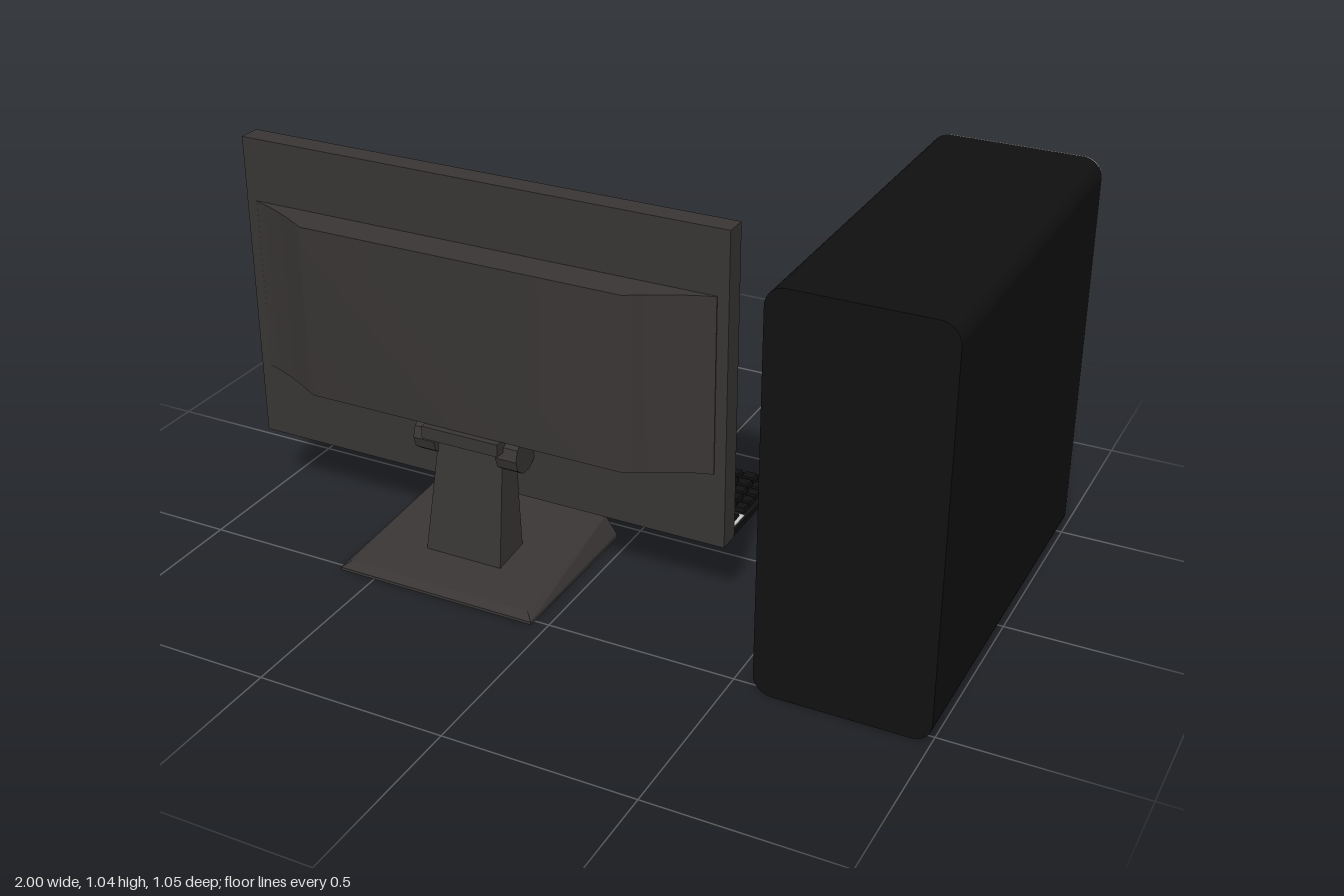
import * as THREE from 'three';
import { toCreasedNormals } from 'three/addons/utils/BufferGeometryUtils.js';
import { ConvexGeometry } from 'three/addons/geometries/ConvexGeometry.js';

const mat = (color) => new THREE.MeshStandardMaterial({ color });
const grey = mat(0xcccccc), black = mat(0x101010), charcoal = mat(0x383534), glass = mat(0x0c0c0c);

function add(parent, name, geometry, material) {
  const mesh = new THREE.Mesh(geometry, material);
  mesh.name = name;
  parent.add(mesh);
  return mesh;
}

function group(parent, name) {
  const g = new THREE.Group();
  g.name = name;
  parent.add(g);
  return g;
}

// Box given by its min and max on each axis
function span(x0, x1, y0, y1, z0, z1) {
  return new THREE.BoxGeometry(x1 - x0, y1 - y0, z1 - z0)
    .translate((x0 + x1) / 2, (y0 + y1) / 2, (z0 + z1) / 2);
}

function hull(points) {
  return new ConvexGeometry(points.map((p) => new THREE.Vector3(...p)));
}

function roundedRect(x0, x1, y0, y1, r) {
  const s = new THREE.Shape();
  s.moveTo(x0 + r, y0);
  s.lineTo(x1 - r, y0);
  s.absarc(x1 - r, y0 + r, r, -Math.PI / 2, 0);
  s.absarc(x1 - r, y1 - r, r, 0, Math.PI / 2);
  s.absarc(x0 + r, y1 - r, r, Math.PI / 2, Math.PI);
  s.absarc(x0 + r, y0 + r, r, Math.PI, Math.PI * 1.5);
  return s;
}

function extrude(shape, depth, z) {
  const g = new THREE.ExtrudeGeometry(shape, { depth, bevelEnabled: false, curveSegments: 10 });
  return toCreasedNormals(g.translate(0, 0, z), 0.6);
}

// Arched cross-sections with a flat underside, lofted along z
function archLoft(cx, sections, sides = 24) {
  const pos = [], index = [], n = sides + 1;
  for (const [z, w, h] of sections) {
    for (let j = 0; j <= sides; j++) {
      const a = (j / sides) * Math.PI, c = Math.cos(a), s = Math.max(0, Math.sin(a));
      pos.push(cx + w * Math.sign(c) * Math.abs(c) ** 0.75, h * s ** 0.75, z);
    }
  }
  for (let i = 0; i < sections.length - 1; i++) {
    for (let j = 0; j < n; j++) {
      const a = i * n + j, b = i * n + (j + 1) % n;
      index.push(a, b, a + n, b, b + n, a + n);
    }
  }
  const g = new THREE.BufferGeometry();
  g.setAttribute('position', new THREE.Float32BufferAttribute(pos, 3));
  g.setIndex(index);
  return toCreasedNormals(g, 0.8);
}

function buildTower(root) {
  const tower = group(root, 'computerTower');
  const outline = roundedRect(0.56, 1, 0, 1.045, 0.05);
  add(tower, 'towerCase', extrude(outline, 1.05, -0.523), black);
  add(tower, 'towerFacePanel', extrude(outline, 0.004, -0.527), grey);
}

function buildMonitor(root) {
  const monitor = group(root, 'monitor');

  // Bezel around a recessed screen
  const frame = new THREE.Shape();
  frame.moveTo(-1, 0.19).lineTo(0.36, 0.19).lineTo(0.36, 1.03).lineTo(-1, 1.03).closePath();
  const hole = new THREE.Path();
  hole.moveTo(-0.955, 0.29).lineTo(-0.955, 0.985).lineTo(0.315, 0.985).lineTo(0.315, 0.29).closePath();
  frame.holes.push(hole);
  add(monitor, 'bezel', extrude(frame, 0.018, 0.2), charcoal);
  add(monitor, 'panelHousing', span(-1, 0.36, 0.19, 1.03, 0.218, 0.26), charcoal);
  add(monitor, 'screen', span(-0.955, 0.315, 0.29, 0.985, 0.212, 0.22), glass);

  // Flared bulge behind the panel
  const bulge = new THREE.Shape();
  bulge.moveTo(-0.97, 0.25);
  bulge.lineTo(-0.97, 0.263);
  bulge.quadraticCurveTo(-0.9, 0.28, -0.77, 0.355);
  bulge.lineTo(0.13, 0.355);
  bulge.quadraticCurveTo(0.26, 0.28, 0.33, 0.263);
  bulge.lineTo(0.33, 0.25);
  add(monitor, 'rearBulge', extrude(bulge, 0.47, 0).rotateX(Math.PI / 2).translate(0, 0.86, 0), charcoal);

  for (let i = 0; i < 5; i++) {
    const x = -0.95 + i * 0.04;
    add(monitor, 'button', span(x, x + 0.02, 0.186, 0.192, 0.215, 0.235), black);
  }

  // Stand: hinge, tapered neck and wedge base
  const stand = group(monitor, 'stand');
  for (const x of [-0.44, -0.2]) {
    const barrel = new THREE.CylinderGeometry(0.05, 0.05, 0.06, 10).rotateZ(Math.PI / 2);
    add(stand, 'hingeBarrel', toCreasedNormals(barrel.translate(x, 0.338, 0.3), 0.4), charcoal);
  }
  add(stand, 'hingeBar', span(-0.43, -0.21, 0.355, 0.39, 0.25, 0.372), charcoal);
  const neck = [];
  for (const [x0, x1, y, z0, z1] of [[-0.43, -0.21, 0.02, 0.26, 0.378], [-0.41, -0.225, 0.36, 0.26, 0.32]]) {
    for (const x of [x0, x1]) for (const z of [z0, z1]) neck.push([x, y, z]);
  }
  add(stand, 'neck', hull(neck), charcoal);
  const base = [];
  for (const side of [-1, 1]) {
    const x = (half) => -0.32 + side * half;
    base.push([x(0.28), 0, 0.06], [x(0.28), 0, 0.52], [x(0.28), 0.012, 0.06], [x(0.28), 0.008, 0.52]);
    base.push([x(0.25), 0.063, 0.065], [x(0.26), 0.022, 0.5]);
  }
  add(stand, 'base', hull(base), charcoal);
}

function buildKeyboard(root) {
  const keyboard = group(root, 'keyboard');
  const tray = extrude(roundedRect(-0.67, 0.235, 0.06, 0.38, 0.015), 0.016, 0);
  add(keyboard, 'keyboardTray', tray.rotateX(-Math.PI / 2).translate(0, 0.004, 0), black);
  add(keyboard, 'topStrip', span(-0.663, 0.228, 0.016, 0.023, -0.165, -0.064), grey);

  // Keys are filled from the x0 side of each block
  const keys = group(keyboard, 'keys');
  function keyRow(x0, x1, count, z0, z1, top) {
    const pitch = (x1 - x0) / count;
    for (let i = 0; i < count; i++) {
      const a = x0 + i * pitch + 0.003, b = x0 + (i + 1) * pitch - 0.003, m = 0.003;
      const points = [];
      for (const x of [a, b]) for (const z of [z0, z1]) points.push([x, 0.018, z]);
      for (const x of [a + m, b - m]) for (const z of [z0 + m, z1 - m]) points.push([x, top, z]);
      add(keys, 'key', hull(points), black);
    }
  }
  for (let row = 0; row < 5; row++) {
    const z0 = -0.372 + row * 0.04, z1 = z0 + 0.035;
    if (row === 0) {
      keyRow(0.09, 0.225, 3, z0, z1, 0.032);
      keyRow(-0.15, 0.09, 1, z0, z1, 0.032);
      keyRow(-0.335, -0.15, 4, z0, z1, 0.032);
    } else {
      keyRow(-0.335, 0.225, 15 - (row === 1 ? 2 : row === 2 ? 1 : 0), z0, z1, 0.032);
    }
    if (row === 1) keyRow(-0.435, -0.395, 1, z0, z1, 0.032);
    else if (row !== 2) keyRow(-0.475, -0.355, 3, z0, z1, 0.032);
    keyRow(-0.655, -0.495, 4, z0, z1, 0.032);
  }
  for (const [x0, x1, count] of [[-0.49, -0.37, 3], [-0.355, -0.2, 4], [-0.185, -0.03, 4], [-0.015, 0.14, 4], [0.178, 0.222, 1]]) {
    keyRow(x0, x1, count, -0.155, -0.115, 0.03);
  }
}

function buildMouse(root) {
  const mouse = group(root, 'mouse');
  const cx = -0.805;
  // Each section: z, half width, height
  add(mouse, 'mouseShell', archLoft(cx, [
    [-0.38, 0.001, 0.02], [-0.379, 0.025, 0.035], [-0.373, 0.045, 0.05], [-0.358, 0.06, 0.068],
    [-0.33, 0.073, 0.09], [-0.29, 0.079, 0.108], [-0.24, 0.08, 0.119], [-0.2, 0.08, 0.12], [-0.165, 0.079, 0.115],
  ]), black);
  add(mouse, 'mouseButtons', archLoft(cx, [
    [-0.165, 0.079, 0.115], [-0.13, 0.077, 0.104], [-0.1, 0.071, 0.09], [-0.08, 0.058, 0.075],
    [-0.07, 0.043, 0.06], [-0.066, 0.025, 0.048], [-0.065, 0.001, 0.03],
  ]), grey);
  add(mouse, 'scrollWheel', new THREE.CylinderGeometry(0.018, 0.018, 0.014, 16)
    .rotateZ(Math.PI / 2).translate(cx, 0.088, -0.108), charcoal);
  const seam = new THREE.CatmullRomCurve3([[0.115, -0.165], [0.104, -0.13], [0.09, -0.1], [0.075, -0.08]]
    .map(([y, z]) => new THREE.Vector3(cx, y, z)));
  add(mouse, 'buttonSeam', new THREE.TubeGeometry(seam, 12, 0.0015, 5), black);
}

export function createModel() {
  const root = new THREE.Group();
  root.name = 'desktopComputer';
  buildTower(root);
  buildMonitor(root);
  buildKeyboard(root);
  buildMouse(root);
  return root;
}
